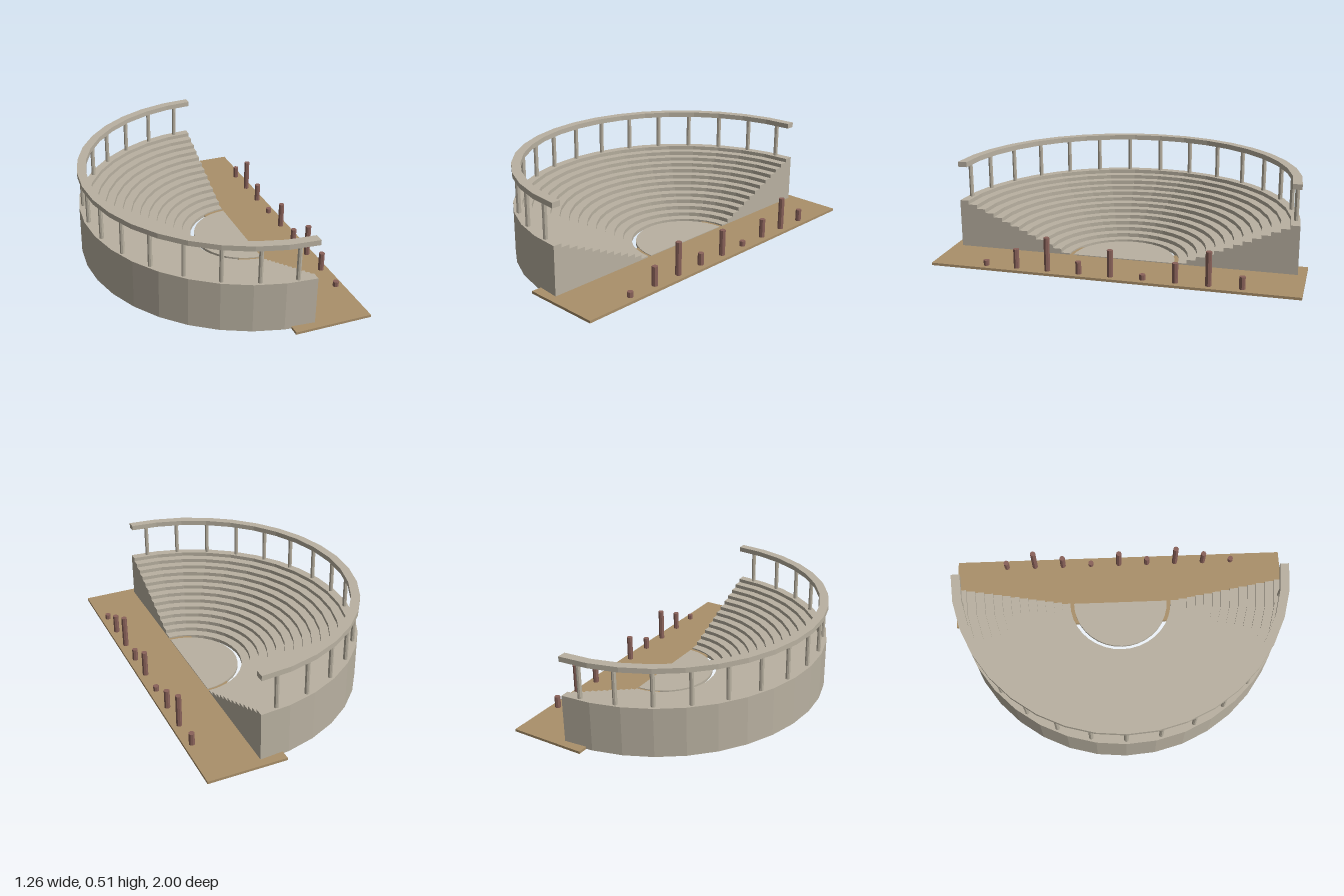
import * as THREE from 'three';

const stone = new THREE.MeshStandardMaterial({ name: 'stone', color: 0xb9b1a1, flatShading: true });
const sand = new THREE.MeshStandardMaterial({ name: 'sandyFloor', color: 0xaa906a, flatShading: true });
const redStone = new THREE.MeshStandardMaterial({ name: 'redStone', color: 0x8a625a, flatShading: true });

const CENTRE_X = 0.324; // axis of the half circle
const SEGMENTS = 18;

// Sweeps a closed counter-clockwise [radius, height] profile through a half circle and caps both ends.
function halfRing(name, profile) {
  const group = new THREE.Group();
  group.name = name;
  const points = [...profile, profile[0]].map(([r, y]) => new THREE.Vector2(r, y));
  const sweep = new THREE.Mesh(new THREE.LatheGeometry(points, SEGMENTS, Math.PI, Math.PI), stone);
  sweep.name = name + 'Sweep';
  group.add(sweep);
  for (const side of [1, -1]) {
    const shape = new THREE.Shape(profile.map(([r, y]) => new THREE.Vector2(side * r, y)));
    const cap = new THREE.Mesh(new THREE.ShapeGeometry(shape), stone);
    cap.name = name + 'End';
    cap.rotation.y = Math.PI / 2;
    group.add(cap);
  }
  group.position.x = CENTRE_X;
  return group;
}

function post(name, radius, x, z, bottom, top, material) {
  const mesh = new THREE.Mesh(new THREE.CylinderGeometry(radius, radius, top - bottom, 8), material);
  mesh.name = name;
  mesh.position.set(x, (bottom + top) / 2, z);
  return mesh;
}

export function createModel() {
  const model = new THREE.Group();
  model.name = 'amphitheatre';

  // Stepped seating bowl
  const rows = 13, inner = 0.308, outer = 0.955, wallTop = 0.285;
  const tread = (outer - inner) / rows, rise = wallTop / rows;
  const steps = [[inner, 0.001], [outer, 0.001]];
  for (let i = rows; i > 0; i--) {
    steps.push([inner + i * tread, i * rise], [inner + (i - 1) * tread, i * rise]);
  }
  model.add(halfRing('seating', steps));

  // Half-round orchestra floor
  model.add(halfRing('orchestra', [[0, 0.001], [0.285, 0.001], [0.285, 0.018], [0, 0.018]]));

  // Colonnade on the top row with its curved beam
  model.add(halfRing('beam', [[0.905, 0.481], [outer, 0.481], [outer, 0.51], [0.905, 0.51]]));
  for (let i = 0; i < 15; i++) {
    const a = THREE.MathUtils.degToRad(6 + 12 * i);
    model.add(post('column', 0.0125, CENTRE_X - 0.93 * Math.sin(a), -0.93 * Math.cos(a), wallTop, 0.481, stone));
  }

  // Stage platform
  const stage = new THREE.Mesh(new THREE.BoxGeometry(0.433, 0.014, 2), sand);
  stage.name = 'stage';
  stage.position.set(0.4115, 0.007, 0);
  model.add(stage);

  // Row of broken stage columns, heights repeating in fives
  const heights = [0.082, 0.2, 0.122, 0.043, 0.161];
  for (let i = 0; i < 9; i++) {
    model.add(post('brokenColumn', 0.0165, 0.585, -0.696 + 0.174 * i, 0.013, heights[i % 5], redStone));
  }
  return model;
}
